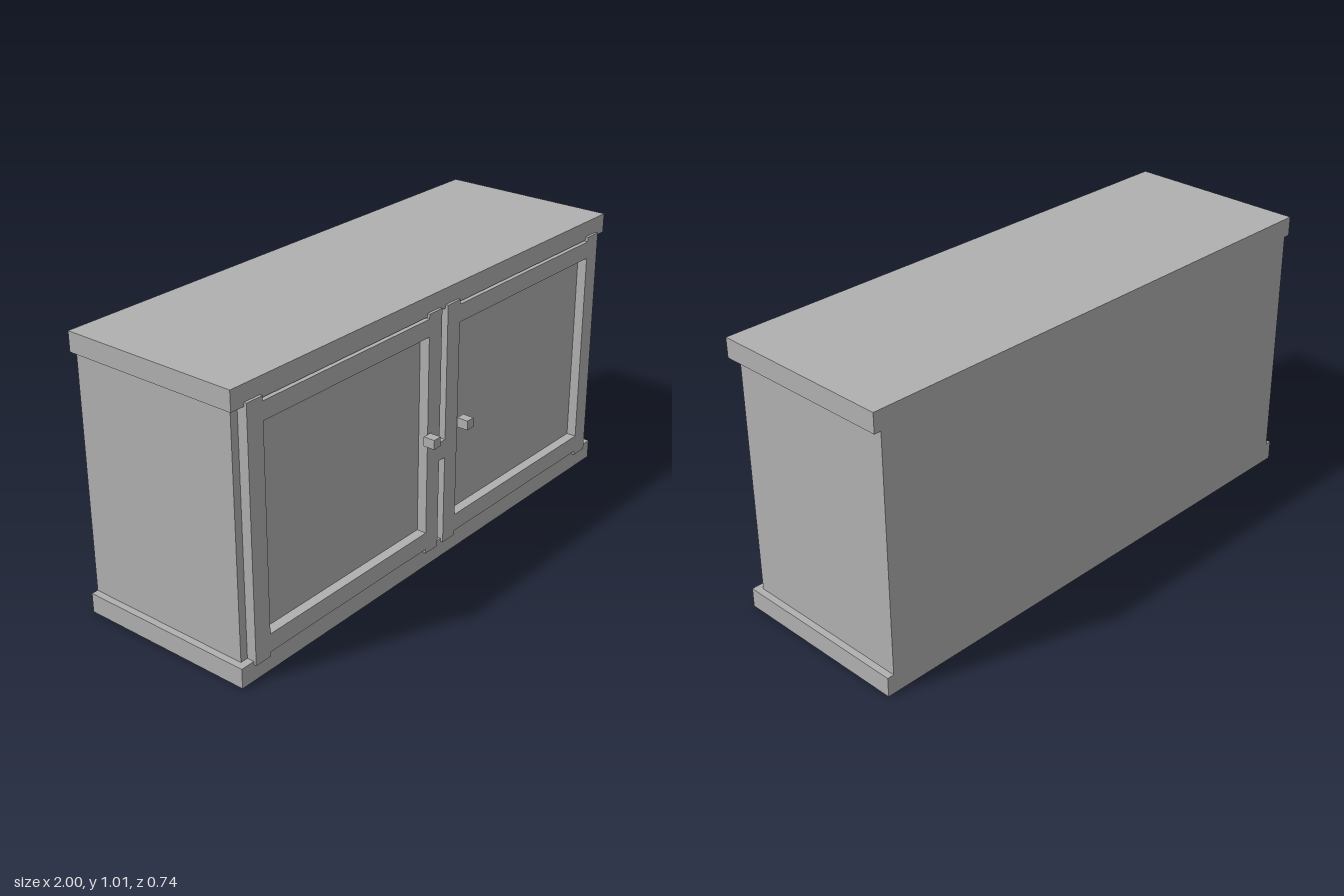
import * as THREE from 'three';

export function createModel() {
  const model = new THREE.Group();
  model.name = 'cabinet';
  const grey = new THREE.MeshStandardMaterial({ color: 0xb0b0b0 });
  grey.name = 'plain grey';

  // Box given by its minimum and maximum corners
  function box(name, [x0, y0, z0], [x1, y1, z1]) {
    const geometry = new THREE.BoxGeometry(x1 - x0, y1 - y0, z1 - z0);
    geometry.translate((x0 + x1) / 2, (y0 + y1) / 2, (z0 + z1) / 2);
    const mesh = new THREE.Mesh(geometry, grey);
    mesh.name = name;
    model.add(mesh);
  }

  // Carcass between overhanging top and base slabs
  const back = -0.37, bodyFront = 0.284, slabFront = 0.311, doorFront = 0.321;
  box('body', [-0.975, 0.072, back], [0.975, 0.944, bodyFront]);
  box('topSlab', [-1, 0.944, back], [1, 1.015, slabFront]);
  box('baseSlab', [-1, 0, back], [1, 0.072, slabFront]);

  // Door frame outline: stiles run slightly past the rails
  const outer = 0.946, outerIn = 0.878, inner = 0.016, innerIn = 0.084;
  const low = 0.06, high = 0.957, railLow = 0.076, railHigh = 0.94;
  const points = (list) => list.map(([x, y]) => new THREE.Vector2(x, y));

  for (const side of [1, -1]) {
    const label = side > 0 ? 'left' : 'right';
    const frame = new THREE.Shape(points([
      [inner, low], [innerIn, low], [innerIn, railLow], [outerIn, railLow],
      [outerIn, low], [outer, low], [outer, high], [outerIn, high],
      [outerIn, railHigh], [innerIn, railHigh], [innerIn, high], [inner, high],
    ].map(([x, y]) => [side * x, y])));
    // Opening onto the recessed panel
    frame.holes.push(new THREE.Path(points([
      [innerIn, 0.142], [innerIn, 0.876], [outerIn, 0.876], [outerIn, 0.142],
    ].map(([x, y]) => [side * x, y]))));
    const geometry = new THREE.ExtrudeGeometry(frame, { depth: doorFront - bodyFront, bevelEnabled: false });
    geometry.translate(0, 0, bodyFront);
    const mesh = new THREE.Mesh(geometry, grey);
    mesh.name = label + 'DoorFrame';
    model.add(mesh);

    // Square knob
    const x = side * 0.094;
    box(label + 'Knob', [x - 0.018, 0.492, 0.326], [x + 0.018, 0.527, 0.37]);
  }

  // Bridge and small catch in the gap between the doors
  box('doorBridge', [-inner, 0.396, bodyFront], [inner, 0.465, doorFront]);
  box('doorCatch', [-inner, 0.497, bodyFront], [inner, 0.525, 0.29]);

  return model;
}
